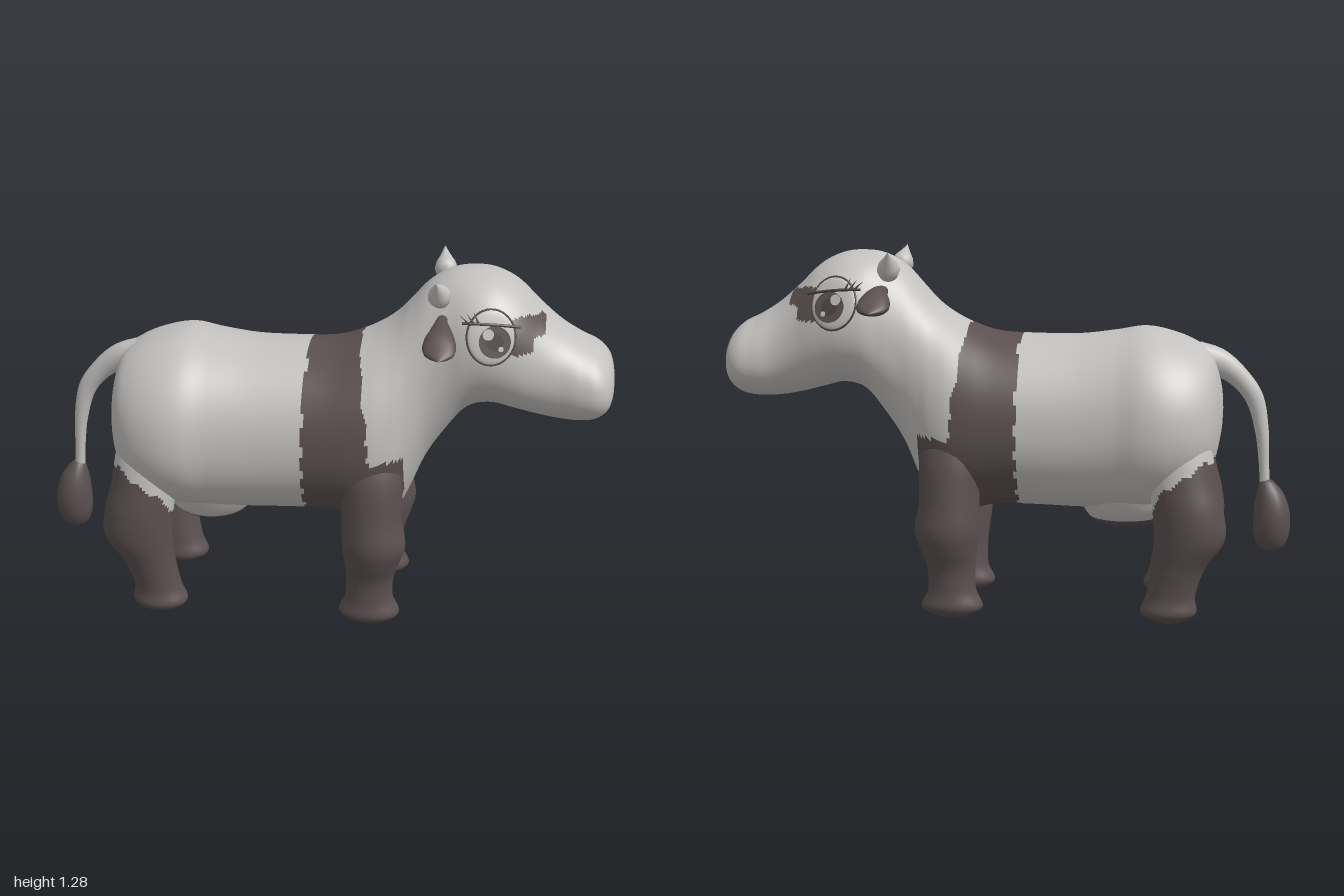
import * as THREE from 'three';

const mat = (name, color) => Object.assign(new THREE.MeshStandardMaterial({ color }), { name });
const hide = mat('pale hide', 0xc4c2c0);
const patch = mat('dark patch', 0x5c5051);
const line = mat('eye line', 0x4e4445);
const nose = mat('nostril grey', 0x746d6d);

const X = new THREE.Vector3(1, 0, 0), Y = new THREE.Vector3(0, 1, 0), Z = new THREE.Vector3(0, 0, 1);
const AXES = { x: [Y, Z], y: [Z, X], z: [X, Y] };

function add(parent, name, geometry, material) {
  const mesh = new THREE.Mesh(geometry, material);
  mesh.name = name;
  parent.add(mesh);
  return mesh;
}

// Smooth loft through sections [x, y, z, radiusU, radiusV]; rings face the
// axis, or follow the path when no axis is given. taper narrows the +U half;
// isDark picks patch faces.
function loft(sections, { axis, steps = 5, segs = 24, power = 2, taper = 0, isDark } = {}) {
  const centres = new THREE.CatmullRomCurve3(sections.map(s => new THREE.Vector3(s[0], s[1], s[2])), false, 'catmullrom');
  const radii = new THREE.CatmullRomCurve3(sections.map(s => new THREE.Vector3(s[3], s[4], 0)), false, 'catmullrom');
  const rings = (sections.length - 1) * steps;
  const pos = [], pale = [], dark = [];
  const bend = c => Math.sign(c) * Math.pow(Math.abs(c), 2 / power);
  for (let i = 0; i <= rings; i++) {
    const t = i / rings, c = centres.getPoint(t), r = radii.getPoint(t);
    const [u, v] = axis ? AXES[axis] : [new THREE.Vector3().crossVectors(Z, centres.getTangent(t)), Z];
    for (let j = 0; j < segs; j++) {
      const a = (j / segs) * Math.PI * 2, up = bend(Math.cos(a));
      const p = c.clone()
        .addScaledVector(u, up * Math.max(r.x, 0))
        .addScaledVector(v, bend(Math.sin(a)) * (1 - taper * up) * Math.max(r.y, 0));
      pos.push(p.x, p.y, p.z);
    }
  }
  for (let i = 0; i < rings; i++) for (let j = 0; j < segs; j++) {
    const k = (j + 1) % segs;
    const a = i * segs + j, b = i * segs + k, c = b + segs, d = a + segs;
    const mid = n => (pos[a * 3 + n] + pos[c * 3 + n]) / 2;
    (isDark && isDark(mid(0), mid(1), Math.abs(mid(2))) ? dark : pale).push(a, b, d, b, c, d);
  }
  const g = new THREE.BufferGeometry();
  g.setAttribute('position', new THREE.Float32BufferAttribute(pos, 3));
  g.setIndex([...pale, ...dark]);
  g.addGroup(0, pale.length, 0);
  g.addGroup(pale.length, dark.length, 1);
  g.computeVertexNormals();
  return g;
}

// Haunch marking: dark below a line sloping down towards the belly
const haunch = (x, y) => y < 0.32 ||
  y < Math.min(0.58, 0.58 - 0.67 * (x + 0.7), 0.48 - 2.6 * (x + 0.55)) + 0.006 * Math.sin(x * 90);

// Coat markings: girth band, shoulders, haunches and cheek patches
function marking(x, y, z) {
  const rag = 0.005 * Math.sin(y * 67 + z * 41);
  if (x > -0.05 + rag && x < 0.175 - Math.max(0, y - 0.75) * 0.17 + rag) return true;
  if (x >= 0.16 && x < 0.295 && y < 0.65 + rag && z > 0.1 + (y - 0.36) * 0.36 + rag) return true;
  if (x < -0.5 && z > 0.1 && haunch(x, y)) return true;
  return x > 0.65 && x < 0.757 && y < 1.15 + rag && z > 0.05 + rag && y > (z > 0.14 && x < 0.72 ? 1.035 : 1.09) + rag;
}

function makeEye(s) {
  const eye = new THREE.Group();
  eye.name = s > 0 ? 'leftEye' : 'rightEye';
  eye.position.set(0.58, 1.105, s * 0.226);
  eye.lookAt(0.58 + 0.25, 1.105 + 0.26, s * 1.226);
  add(eye, 'eyeball', new THREE.SphereGeometry(1, 32, 16), hide).scale.set(0.081, 0.092, 0.014);
  add(eye, 'eyeRim', new THREE.TorusGeometry(0.082, 0.0035, 8, 40), line).scale.y = 1.13;
  const disc = (name, r, x, y, z, m) => add(eye, name, new THREE.CircleGeometry(r, 28), m).position.set(s * x, y, z);
  disc('iris', 0.054, 0.01, -0.016, 0.0145, patch);
  disc('pupil', 0.03, 0.01, -0.016, 0.0155, line);
  disc('highlight', 0.019, -0.012, 0.01, 0.0165, hide);
  disc('smallHighlight', 0.009, 0.03, -0.04, 0.0165, hide);
  const lid = new THREE.QuadraticBezierCurve3(
    new THREE.Vector3(-s * 0.097, 0.05, 0.002), new THREE.Vector3(0, 0.045, 0.024), new THREE.Vector3(s * 0.1, 0.03, 0.002));
  add(eye, 'upperLid', new THREE.TubeGeometry(lid, 16, 0.005, 6), line);
  for (let i = 0; i < 3; i++) {
    const lash = add(eye, 'eyelash', new THREE.ConeGeometry(0.004, 0.042, 6), line);
    lash.position.set(-s * (0.092 - i * 0.02), 0.064 + i * 0.003, 0.01);
    lash.rotation.z = s * (0.8 - i * 0.2);
  }
  return eye;
}

export function createModel() {
  const cow = new THREE.Group();
  cow.name = 'cow';

  // Body, neck and head: [x, top, bottom, half width]
  const body = [
    [-0.757, 0.73, 0.73, 0], [-0.75, 0.81, 0.64, 0.1], [-0.72, 0.915, 0.52, 0.225], [-0.66, 0.965, 0.44, 0.295],
    [-0.57, 1, 0.4, 0.333], [-0.48, 1.015, 0.38, 0.337], [-0.38, 1, 0.375, 0.315], [-0.25, 0.985, 0.375, 0.302],
    [-0.1, 0.985, 0.38, 0.297], [0.03, 0.992, 0.38, 0.297], [0.12, 1.02, 0.36, 0.297], [0.19, 1.055, 0.345, 0.29],
    [0.25, 1.1, 0.36, 0.267], [0.3, 1.155, 0.45, 0.238], [0.36, 1.22, 0.59, 0.215], [0.43, 1.262, 0.7, 0.213],
    [0.5, 1.275, 0.785, 0.225], [0.58, 1.268, 0.808, 0.228], [0.66, 1.23, 0.79, 0.213], [0.74, 1.155, 0.77, 0.19],
    [0.81, 1.095, 0.758, 0.18], [0.88, 1.05, 0.755, 0.184], [0.94, 1.02, 0.765, 0.18], [0.98, 0.98, 0.795, 0.15],
    [0.997, 0.93, 0.84, 0.09], [1, 0.885, 0.885, 0],
  ].map(([x, top, bottom, w]) => [x, (top + bottom) / 2, 0, (top - bottom) / 2, w]);
  add(cow, 'bodyAndHead', loft(body,
    { axis: 'x', steps: 12, segs: 120, power: 2.15, taper: 0.05, isDark: marking }), [hide, patch]);

  // Legs: [x, y, z, half depth, half length]
  const frontLeg = [
    [0.18, 0, 0.195, 0, 0], [0.18, 0.008, 0.195, 0.038, 0.055], [0.18, 0.04, 0.195, 0.077, 0.108],
    [0.18, 0.1, 0.195, 0.073, 0.085], [0.182, 0.18, 0.198, 0.075, 0.085], [0.19, 0.25, 0.207, 0.093, 0.1],
    [0.195, 0.32, 0.215, 0.104, 0.113], [0.187, 0.42, 0.208, 0.104, 0.106], [0.183, 0.55, 0.2, 0.1, 0.11],
    [0.17, 0.66, 0.185, 0.085, 0.1], [0.16, 0.78, 0.17, 0.06, 0.07]];
  const hindLeg = [
    [-0.58, 0, 0.2, 0, 0], [-0.58, 0.008, 0.2, 0.038, 0.05], [-0.577, 0.04, 0.2, 0.077, 0.097],
    [-0.585, 0.1, 0.2, 0.073, 0.085], [-0.61, 0.2, 0.208, 0.08, 0.092], [-0.645, 0.3, 0.215, 0.098, 0.122],
    [-0.64, 0.4, 0.213, 0.106, 0.122], [-0.62, 0.5, 0.203, 0.105, 0.118], [-0.605, 0.62, 0.19, 0.1, 0.112],
    [-0.58, 0.75, 0.17, 0.09, 0.1]];

  // Ears, from root to tip: [x, y, z, half length, half height]
  const ear = [
    [0.415, 1.145, 0.19, 0.018, 0.018], [0.415, 1.145, 0.24, 0.023, 0.024], [0.418, 1.13, 0.3, 0.04, 0.038],
    [0.418, 1.115, 0.355, 0.055, 0.038], [0.42, 1.1, 0.405, 0.047, 0.02], [0.422, 1.09, 0.445, 0, 0]];

  // Horns: bulbous base drawn out to a point
  const hornProfile = [[0, -0.03], [0.032, -0.015], [0.04, 0.012], [0.034, 0.035], [0.016, 0.068], [0, 0.103]]
    .map(p => new THREE.Vector2(...p));

  for (const s of [1, -1]) {
    const side = s > 0 ? 'left' : 'right';
    const mirrored = list => list.map(([x, y, z, a, b]) => [x, y, s * z, a, b]);
    add(cow, side + 'FrontLeg', loft(mirrored(frontLeg), { axis: 'y' }), patch);
    add(cow, side + 'HindLeg', loft(mirrored(hindLeg), { axis: 'y', steps: 10, segs: 60, isDark: haunch }), [hide, patch]);
    const earPath = mirrored(ear);
    add(cow, side + 'Ear', loft(s > 0 ? earPath : earPath.reverse(), { axis: 'z', segs: 16 }), patch);
    const horn = add(cow, side + 'Horn', new THREE.LatheGeometry(hornProfile, 20), hide);
    horn.position.set(0.403, 1.208, s * 0.147);
    horn.quaternion.setFromUnitVectors(Y, new THREE.Vector3(-0.1, 0.7, s * 0.7).normalize());
    cow.add(makeEye(s));
  }

  // Tail and its tuft
  add(cow, 'tail', loft([
    [-0.66, 0.91, 0, 0.055, 0.065], [-0.735, 0.89, 0, 0.05, 0.045], [-0.805, 0.843, 0, 0.038, 0.033],
    [-0.865, 0.765, 0, 0.032, 0.028], [-0.893, 0.65, 0, 0.024, 0.024], [-0.903, 0.53, 0, 0.018, 0.018],
    [-0.908, 0.44, 0, 0.018, 0.018]], { segs: 16 }), hide);
  add(cow, 'tailTuft', loft([
    [-0.933, 0.226, 0, 0, 0], [-0.933, 0.232, 0, 0.035, 0.04], [-0.934, 0.28, 0, 0.06, 0.062],
    [-0.934, 0.35, 0, 0.066, 0.064], [-0.928, 0.42, 0, 0.052, 0.05], [-0.914, 0.47, 0, 0.024, 0.024],
    [-0.91, 0.48, 0, 0, 0]], { axis: 'y', segs: 16 }), patch);

  // Udder, pale with a dark underside, flaring into the belly
  const udder = loft([
    [-0.42, 0.31, 0, 0, 0], [-0.42, 0.313, 0, 0.07, 0.09], [-0.415, 0.34, 0, 0.125, 0.125],
    [-0.42, 0.375, 0, 0.16, 0.155], [-0.42, 0.43, 0, 0.19, 0.19]], { axis: 'y', isDark: (x, y) => y < 0.34 });
  add(cow, 'udder', udder, [hide, patch]);

  // Nostril mark on the muzzle
  const nostril = add(cow, 'nostril', new THREE.SphereGeometry(1, 16, 12), nose);
  nostril.position.set(0.993, 0.853, -0.04);
  nostril.scale.set(0.011, 0.024, 0.015);

  return cow;
}
